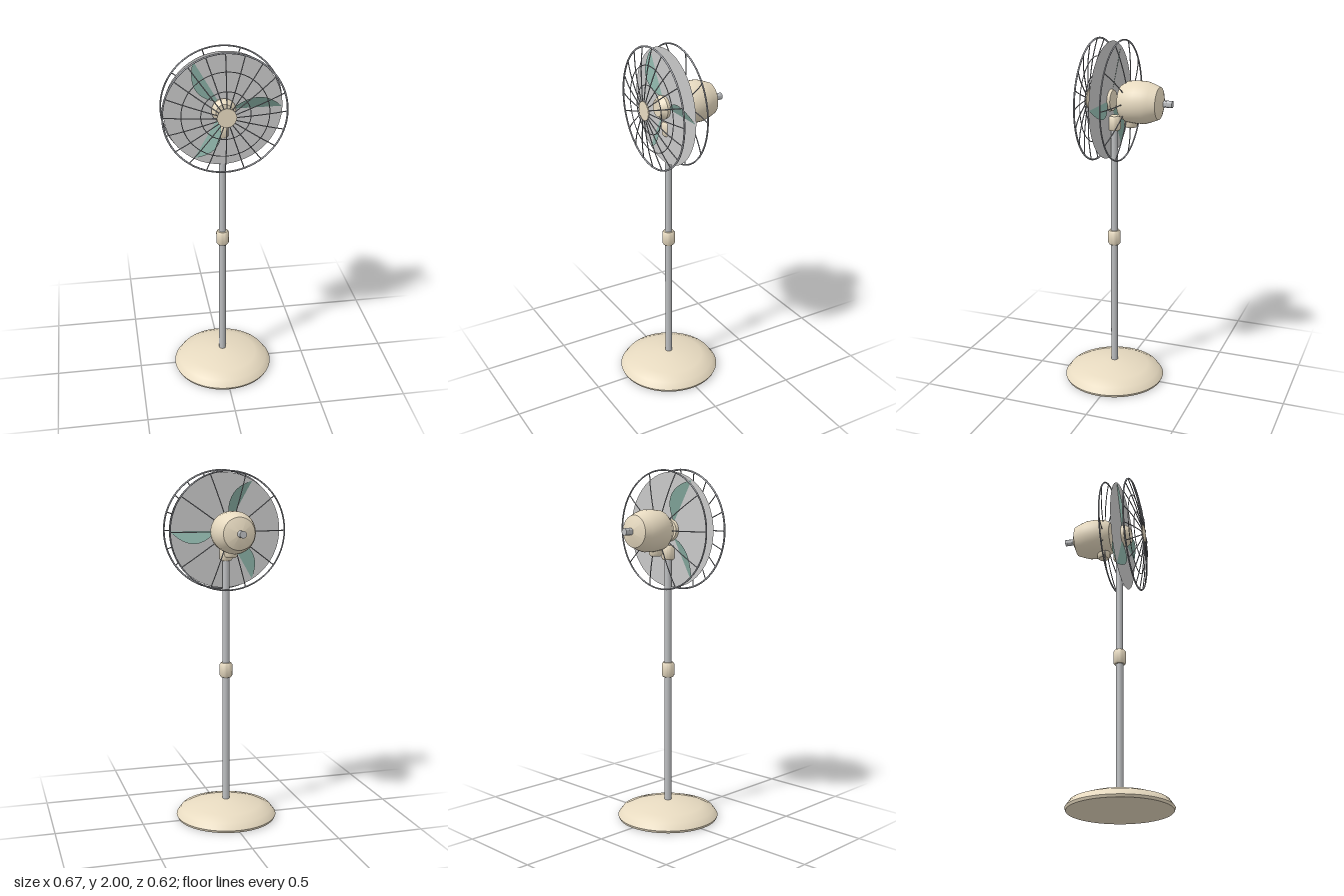
import * as THREE from 'three';
import { toCreasedNormals } from 'three/addons/utils/BufferGeometryUtils.js';

const material = (name, color, side = THREE.FrontSide) => {
  const m = new THREE.MeshStandardMaterial({ color, side });
  m.name = name;
  return m;
};

const HEAD_Y = 1.665;  // height of the fan axis
const POLE_Z = 0.02;

export function createModel() {
  const cream = material('cream enamel', 0xe8dbc1);
  const steel = material('pole steel', 0xbcbec0);
  const wire = material('cage wire', 0xa0a2a8);
  const teal = material('blade teal', 0x8ab0a5, THREE.DoubleSide);
  const grey = material('disc grey', 0xc8c8c8, THREE.DoubleSide);

  const model = new THREE.Group();
  model.name = 'pedestalFan';
  const stand = new THREE.Group();
  stand.name = 'stand';
  stand.position.z = POLE_Z;
  const head = new THREE.Group();
  head.name = 'head';
  head.position.y = HEAD_Y;
  model.add(stand, head);

  const add = (parent, name, geometry, mat) => {
    const mesh = new THREE.Mesh(geometry, mat);
    mesh.name = name;
    parent.add(mesh);
    return mesh;
  };
  // Turned solid from [radius, height] pairs, bottom to top
  const turned = (points, crease = 0.75, segments = 40) => toCreasedNormals(
    new THREE.LatheGeometry(points.map(([r, h]) => new THREE.Vector2(r, h)), segments), crease);
  const turnedZ = (...args) => turned(...args).rotateX(Math.PI / 2);

  // Stand: domed base, pole and collars
  add(stand, 'base', turned([[0, 0], [0.285, 0], [0.291, 0.014], [0.265, 0.05], [0.2, 0.073],
    [0.13, 0.09], [0.06, 0.1], [0, 0.104]], 0.85, 64), cream);
  add(stand, 'pole', new THREE.CylinderGeometry(0.02, 0.02, 1.44, 24).translate(0, 0.8, 0), steel);
  const collar = (name, low, high) => add(stand, name, turned([[0, low], [0.029, low],
    [0.036, low + 0.01], [0.036, high - 0.01], [0.029, high], [0, high]], 0.85, 28), cream);
  collar('heightCollar', 0.833, 0.917);
  collar('topCollar', 1.5, 1.58);

  // Motor housing with rear knob and tilt joint below
  add(head, 'motorHousing', turnedZ([[0, -0.265], [0.018, -0.265], [0.088, -0.24], [0.104, -0.2],
    [0.115, -0.165], [0.116, -0.12], [0.111, -0.06], [0.088, -0.025], [0, -0.025]]), cream);
  add(head, 'rearKnob', turnedZ([[0, -0.313], [0.019, -0.313], [0.019, -0.255], [0, -0.255]]), steel);
  add(head, 'tiltJoint', turned([[0, -0.14], [0.028, -0.14], [0.037, -0.13], [0.037, -0.08], [0, -0.08]])
    .translate(0, 0, -0.077), cream);

  // Hub, backing disc and three pitched leaf-shaped blades
  add(head, 'hub', turnedZ([[0, 0.025], [0.057, 0.025], [0.066, 0.06], [0.045, 0.09], [0, 0.09]], 0.4), cream);
  add(head, 'backingDisc', new THREE.CircleGeometry(0.32, 64).translate(0, 0, 0.041), grey);
  const leaf = new THREE.Shape();
  leaf.moveTo(0.05, 0);
  leaf.bezierCurveTo(0.14, 0.1, 0.23, 0.1, 0.315, 0);
  leaf.bezierCurveTo(0.23, -0.1, 0.14, -0.1, 0.05, 0);
  const leafGeometry = new THREE.ShapeGeometry(leaf, 20).rotateX(0.41).translate(0, 0, 0.041);
  for (let i = 0; i < 3; i++) {
    add(head, 'blade', leafGeometry, teal).rotation.z = (i * Math.PI * 2) / 3;
  }

  // Wire cage halves: curved spokes round the axis plus rings
  const cage = (name, count, path, rings) => {
    const group = new THREE.Group();
    group.name = name;
    head.add(group);
    const curve = new THREE.CatmullRomCurve3(path.map(([r, z]) => new THREE.Vector3(r, 0, z)));
    const spoke = new THREE.TubeGeometry(curve, 10, 0.003, 6);
    for (let i = 0; i < count; i++) {
      add(group, 'spoke', spoke, wire).rotation.z = (i * Math.PI * 2) / count;
    }
    for (const [r, z, tube] of rings) {
      add(group, 'ring', new THREE.TorusGeometry(r, tube, 8, 72).translate(0, 0, z), wire);
    }
  };
  cage('frontCage', 20, [[0.045, 0.168], [0.133, 0.158], [0.235, 0.142], [0.332, 0.118]],
    [[0.332, 0.118, 0.005], [0.235, 0.126, 0.0025], [0.133, 0.138, 0.0025]]);
  cage('rearCage', 10, [[0.1, -0.061], [0.18, -0.053], [0.26, -0.04], [0.328, -0.024]],
    [[0.328, -0.024, 0.0045]]);

  // Round cap in the middle of the front cage
  add(head, 'frontCap', turnedZ([[0, 0.163], [0.052, 0.163], [0.052, 0.171], [0, 0.171]]), cream);

  return model;
}
